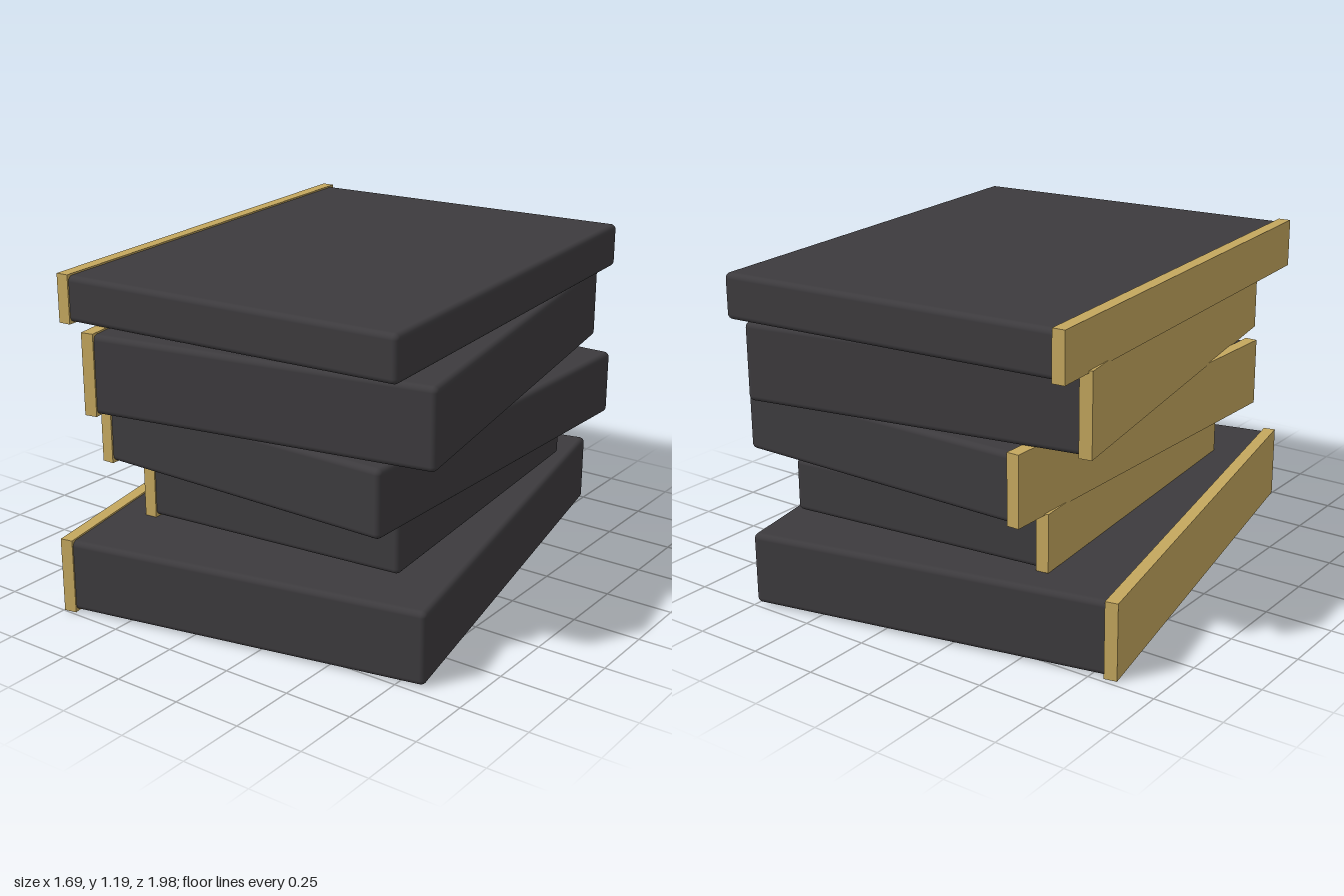
import * as THREE from 'three';
import { RoundedBoxGeometry } from 'three/addons/geometries/RoundedBoxGeometry.js';

const SPINE = 0.046; // spine strip thickness
const INSET = 0.006; // how far the block sits inside the spine's outline

// Each book: centre x, z, width, depth, bottom, top, turn about y
const BOOKS = [
  { name: 'bottomBook', x: 0, z: 0, w: 1.37, d: 1.757, y0: 0, y1: 0.276, turn: 0.2 },
  { name: 'secondBook', x: 0.05, z: -0.05, w: 1.04, d: 1.325, y0: 0.272, y1: 0.482, turn: 0.094 },
  { name: 'middleBook', x: 0.08, z: -0.03, w: 1.208, d: 1.536, y0: 0.477, y1: 0.731, turn: -0.012 },
  { name: 'fourthBook', x: 0.06, z: -0.01, w: 1.293, d: 1.635, y0: 0.725, y1: 1.02, turn: 0.18 },
  { name: 'topBook', x: 0.01, z: -0.05, w: 1.335, d: 1.705, y0: 1.012, y1: 1.188, turn: 0.0763 },
];

export function createModel() {
  const model = new THREE.Group();
  model.name = 'bookStack';
  const coverMaterial = new THREE.MeshStandardMaterial({ color: 0x3d3b3e });
  const spineMaterial = new THREE.MeshStandardMaterial({ color: 0xc4a75e });

  for (const b of BOOKS) {
    const book = new THREE.Group();
    book.name = b.name;
    const h = b.y1 - b.y0;

    // Soft-edged block, its left end tucked into the spine
    const bodyW = b.w - SPINE / 2;
    const body = new THREE.Mesh(
      new RoundedBoxGeometry(bodyW, h - 2 * INSET, b.d - 2 * INSET, 4, 0.02),
      coverMaterial
    );
    body.name = 'cover';
    body.position.x = (b.w - bodyW) / 2;

    // Sharp-edged spine strip along the left side
    const spine = new THREE.Mesh(new THREE.BoxGeometry(SPINE, h, b.d), spineMaterial);
    spine.name = 'spine';
    spine.position.x = (SPINE - b.w) / 2;

    book.add(body, spine);
    book.position.set(b.x, (b.y0 + b.y1) / 2, b.z);
    book.rotation.y = b.turn;
    model.add(book);
  }
  return model;
}
